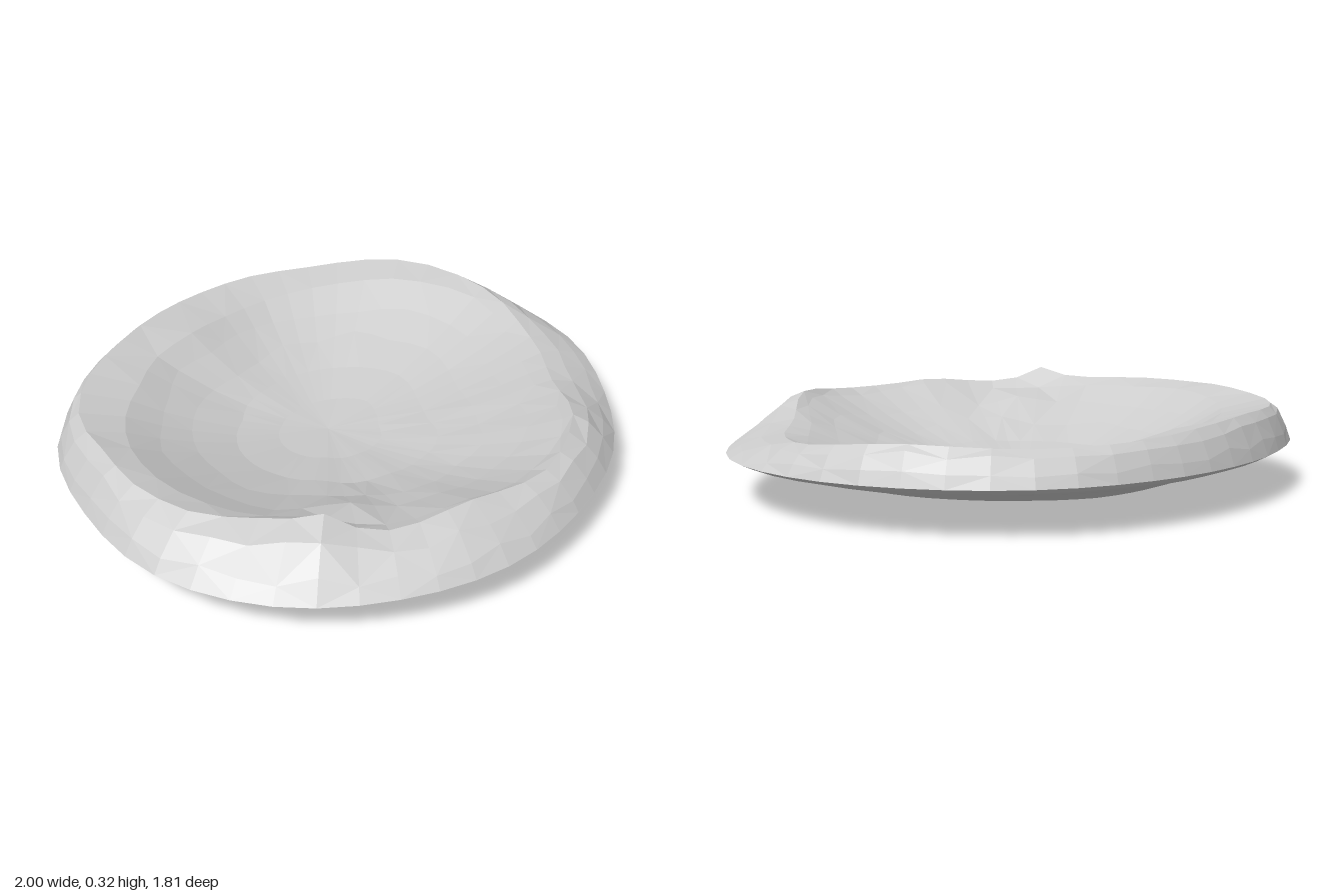
import * as THREE from 'three';

const SEGMENTS = 48;
// Values every 22.5 degrees, starting at +x and turning toward +z
const EDGE_RADIUS = [1, 0.985, 0.93, 0.915, 0.9, 0.92, 0.94, 0.98, 1, 0.98, 0.985, 0.93, 0.91, 0.93, 0.972, 0.99];
const CREST_RADIUS = [0.91, 0.8, 0.73, 0.78, 0.77, 0.73, 0.75, 0.74, 0.82, 0.86, 0.9, 0.87, 0.84, 0.86, 0.88, 0.92];
const CREST_HEIGHT = [0.24, 0.212, 0.225, 0.283, 0.26, 0.28, 0.258, 0.275, 0.285, 0.29, 0.275, 0.28, 0.28, 0.26, 0.255, 0.27];
const LIP_RADIUS = [0.84, 0.72, 0.68, 0.73, 0.73, 0.69, 0.7, 0.68, 0.75, 0.76, 0.74, 0.71, 0.69, 0.72, 0.77, 0.83];
const EDGE_Y = 0.15;

// Smooth periodic lookup
function around(table, u) {
  const n = table.length, k = Math.floor(u * n), f = u * n - k;
  const [a, b, c, d] = [-1, 0, 1, 2].map(o => table[(k + o + n) % n]);
  return b + 0.5 * f * (c - a + f * (2 * a - 5 * b + 4 * c - d + f * (3 * (b - c) + d - a)));
}

// Repeatable noise in -1..1
function noise(i, j) {
  const s = Math.sin(i * 127.1 + j * 311.7) * 43758.5453;
  return 2 * (s - Math.floor(s)) - 1;
}

// Smooth noise around a ring, with the given number of waves
function waves(u, count, j) {
  const k = Math.floor(u * count), f = u * count - k;
  return noise(k, j) * (1 - f) + noise((k + 1) % count, j) * f;
}

function ringPoints(at) {
  return Array.from({ length: SEGMENTS }, (_, i) => at(i / SEGMENTS, i));
}

function polar(u, r, y) {
  const a = u * Math.PI * 2;
  return new THREE.Vector3(Math.cos(a) * r, y, Math.sin(a) * r);
}

const edgePoint = u => polar(u, around(EDGE_RADIUS, u), EDGE_Y);

// Rim crest with a single sharp peak
function crestPoint(u) {
  const peak = 0.052 * Math.exp(-(((u - 0.4167) / 0.018) ** 2));
  const r = around(CREST_RADIUS, u) + 0.012 * waves(u, 24, 3);
  return polar(u, r, around(CREST_HEIGHT, u) + peak + 0.005 * waves(u, 24, 4));
}

// Inner lip where the rounded rim turns down into the bowl
function lipPoint(u) {
  const drop = 0.01 + 0.15 * (around(CREST_RADIUS, u) - around(LIP_RADIUS, u));
  const r = around(LIP_RADIUS, u) + 0.015 * waves(u, 24, 6);
  return polar(u, r, around(CREST_HEIGHT, u) - drop + 0.006 * waves(u, 24, 5));
}

// Faceted skin through successive rings of points
function skin(name, rings, material) {
  const positions = [];
  const tri = (...pts) => pts.forEach(p => positions.push(p.x, p.y, p.z));
  for (let j = 0; j < rings.length - 1; j++) {
    for (let i = 0; i < SEGMENTS; i++) {
      const n = (i + 1) % SEGMENTS;
      const a = rings[j][i], b = rings[j + 1][i], c = rings[j + 1][n], d = rings[j][n];
      if ((i + j) % 2) { tri(a, b, d); tri(b, c, d); }
      else { tri(a, b, c); tri(a, c, d); }
    }
  }
  const geometry = new THREE.BufferGeometry();
  geometry.setAttribute('position', new THREE.Float32BufferAttribute(positions, 3));
  geometry.computeVertexNormals();
  const mesh = new THREE.Mesh(geometry, material);
  mesh.name = name;
  return mesh;
}

export function createModel() {
  const stone = new THREE.MeshStandardMaterial({ color: 0xcccccc });
  stone.name = 'greyStone';
  const group = new THREE.Group();
  group.name = 'crater';

  // Outer bank: outer edge up to the crest
  const bank = [[0, 0], [0.22, 0.36], [0.6, 0.79], [1, 1]].map(([t, h], j) => ringPoints((u, i) => {
    const e = edgePoint(u), c = crestPoint(u), rough = j === 1 || j === 2 ? noise(i, j) : 0;
    const p = e.clone().lerp(c, t + rough * 0.06);
    p.y = e.y + (c.y - e.y) * (h + rough * 0.08);
    return p;
  }));

  // Inner bowl: lip down to the off-centre floor
  const floor = new THREE.Vector3(0.03, 0.045, -0.1);
  const bowl = [[1, 1], [0.85, 0.72], [0.68, 0.46], [0.48, 0.23], [0.25, 0.07], [0, 0]]
    .map(([t, h], j) => ringPoints(u => {
      const lip = lipPoint(u), rough = t < 1 ? t * waves(u, t > 0.5 ? 24 : 12, j + 9) : 0;
      const p = floor.clone().lerp(lip, t + rough * 0.04);
      p.y = floor.y + (lip.y - floor.y) * h + rough * 0.013;
      // Fallen ledge under the peak
      if (t < 1) p.y += 0.045 * Math.exp(-(((p.x + 0.42) / 0.13) ** 2) - ((p.z - 0.33) / 0.09) ** 2);
      return p;
    }));

  // Bank, rounded rim and bowl form one continuous surface
  group.add(skin('rimAndBowl', [...bank, ...bowl], stone));

  // Underside: lowest point out to the edge, a little steeper toward +x
  const low = new THREE.Vector3(0.17, 0, -0.2);
  const under = [[0, 0], [0.18, 0.008], [0.36, 0.027], [0.6, 0.054], [0.72, 0.083], [0.87, 0.114], [0.96, 0.134], [1, EDGE_Y]]
    .map(([t, y], j) => ringPoints(u => {
      const p = low.clone().lerp(edgePoint(u), t);
      const tilt = t < 0.8 ? 1 + 0.2 * Math.cos(u * Math.PI * 2) : 1;
      p.y = y * tilt + (t > 0 && t < 0.9 ? waves(u, 16, j + 30) * 0.003 : 0);
      return p;
    }));
  group.add(skin('underside', under, stone));

  return group;
}
